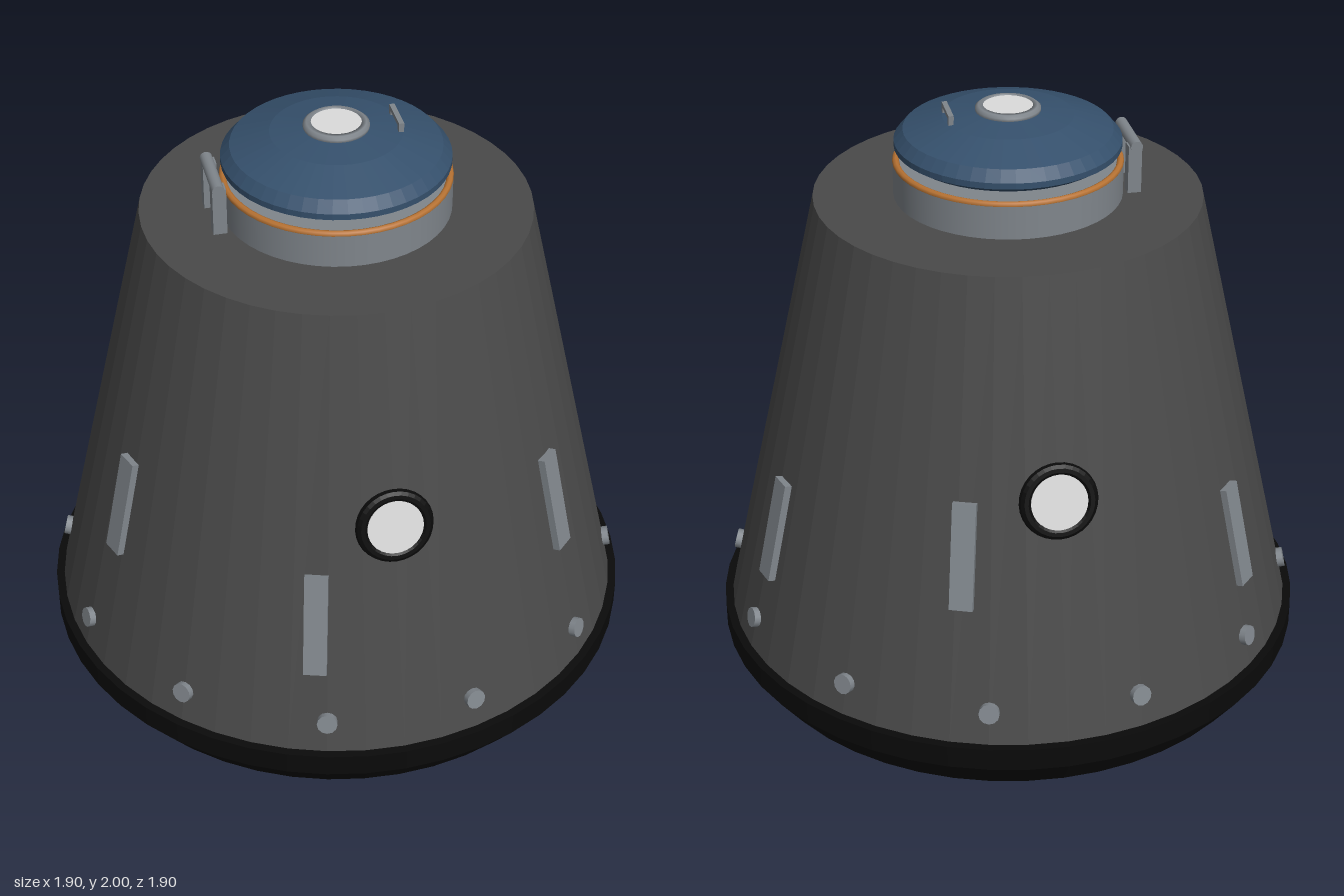
import * as THREE from 'three';

const mat = (name, color, extra = {}) => {
  const m = new THREE.MeshStandardMaterial({ color, ...extra });
  m.name = name;
  return m;
};

// Hull wall: radius shrinks linearly with height
const BASE_Y = 0.29, TOP_Y = 1.715, BASE_R = 0.925, TOP_R = 0.6;
const SLOPE = (BASE_R - TOP_R) / (TOP_Y - BASE_Y);
const TILT = Math.atan(SLOPE);
const hullRadius = (y) => BASE_R - (y - BASE_Y) * SLOPE;

export function createModel() {
  const model = new THREE.Group();
  model.name = 'capsule';

  const hullGrey = mat('hull grey', 0x4a4a4a, { flatShading: true });
  const black = mat('shield black', 0x0a0a0a, { flatShading: true });
  const metal = mat('metal grey', 0x80868c);
  const blue = mat('hatch blue', 0x35506c, { flatShading: true });
  const orange = mat('seal orange', 0xb87333);
  const glass = mat('window white', 0xdcdcdc);

  const add = (name, geometry, material, x = 0, y = 0, z = 0, parent = model) => {
    const mesh = new THREE.Mesh(geometry, material);
    mesh.name = name;
    mesh.position.set(x, y, z);
    parent.add(mesh);
    return mesh;
  };
  const lathe = (points, segments) =>
    new THREE.LatheGeometry(points.map(([r, y]) => new THREE.Vector2(r, y)), segments);

  // Mount whose local +z points straight out of the sloped hull
  const hullMount = (name, degrees, y) => {
    const pivot = new THREE.Group();
    pivot.name = name;
    pivot.rotation.y = THREE.MathUtils.degToRad(degrees);
    const mount = new THREE.Group();
    mount.position.set(0, y, hullRadius(y));
    mount.rotation.x = -TILT;
    pivot.add(mount);
    model.add(pivot);
    return mount;
  };

  // Hull and heat shield
  add('hull', new THREE.CylinderGeometry(TOP_R, BASE_R, TOP_Y - BASE_Y, 48), hullGrey, 0, (TOP_Y + BASE_Y) / 2);
  add('heatShield', lathe([[0, 0], [0.6, 0.042], [0.87, 0.112], [0.95, 0.22], [0.95, 0.295], [0, 0.295]], 48), black);

  // Docking collar with its seal
  add('collar', new THREE.CylinderGeometry(0.353, 0.353, 0.11, 48), metal, 0, 1.768);
  const seal = add('seal', new THREE.TorusGeometry(0.343, 0.011, 8, 48), orange, 0, 1.822);
  seal.rotation.x = Math.PI / 2;

  // Domed hatch with a round port and a grab handle
  add('hatch', lathe([[0, 1.855], [0.32, 1.855], [0.348, 1.873], [0.348, 1.892],
    [0.32, 1.925], [0.2, 1.967], [0.09, 1.983], [0, 1.987]], 48), blue);
  add('hatchPortRim', lathe([[0.076, 1.975], [0.1, 1.975], [0.1, 1.99], [0.09, 1.998],
    [0.076, 1.998], [0.076, 1.975]], 32), metal);
  add('hatchPort', new THREE.CylinderGeometry(0.078, 0.078, 0.02, 32), glass, 0, 1.986);
  add('hatchHandle', new THREE.BoxGeometry(0.016, 0.014, 0.12), metal, 0.185, 1.991);
  for (const z of [-0.05, 0.05]) {
    add('handleFoot', new THREE.BoxGeometry(0.016, 0.035, 0.016), metal, 0.185, 1.977, z);
  }

  // Hinge beside the collar
  const pin = add('hingePin', new THREE.CylinderGeometry(0.019, 0.019, 0.2, 16), metal, -0.379, 1.866);
  pin.rotation.x = Math.PI / 2;
  for (const z of [-0.075, 0.075]) {
    add('hingePost', new THREE.BoxGeometry(0.042, 0.155, 0.04), metal, -0.376, 1.79, z);
  }

  // Portholes at front and back
  for (const angle of [0, 180]) {
    const mount = hullMount('porthole', angle, 1.05);
    add('portholeFrame', new THREE.TorusGeometry(0.1, 0.02, 10, 32), black, 0, 0, 0, mount);
    const pane = add('portholeGlass', new THREE.CylinderGeometry(0.086, 0.086, 0.03, 32), glass, 0, 0, 0.001, mount);
    pane.rotation.x = Math.PI / 2;
  }

  // Raised strips, alternating between two heights
  [45, 107.5, 159, 227.5, 290.5, 342.5].forEach((angle, i) => {
    const mount = hullMount('strip', angle, i % 2 ? 0.735 : 0.885);
    add('stripPlate', new THREE.BoxGeometry(0.072, 0.335, 0.03), metal, 0, 0, 0.006, mount);
  });

  // Ring of bolts above the heat shield
  for (let i = 0; i < 12; i++) {
    const mount = hullMount('bolt', 15 + i * 30, 0.4);
    const head = add('boltHead', new THREE.CylinderGeometry(0.032, 0.032, 0.03, 12), metal, 0, 0, 0.004, mount);
    head.rotation.x = Math.PI / 2;
  }
  return model;
}
